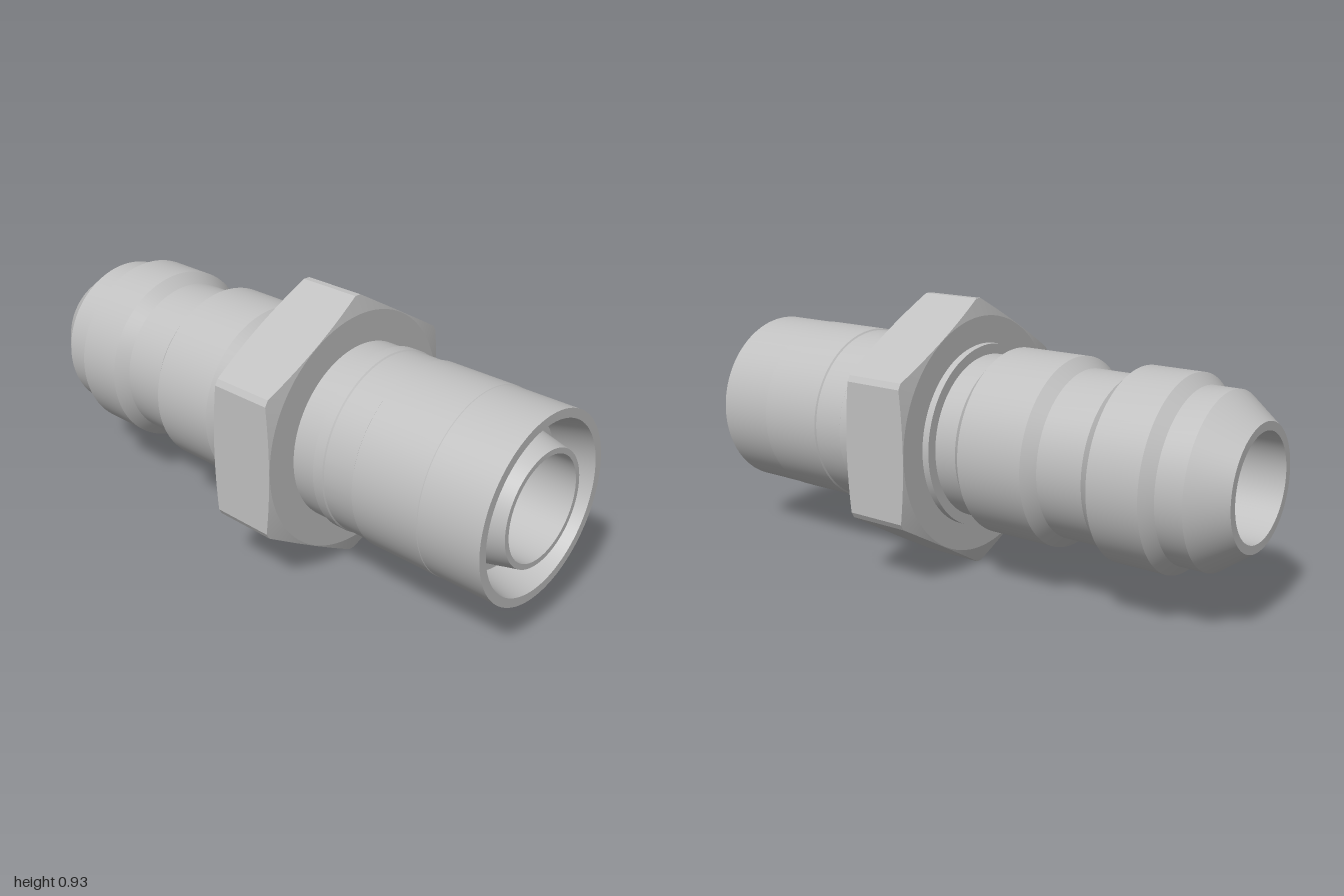
import * as THREE from 'three';
import { toCreasedNormals } from 'three/addons/utils/BufferGeometryUtils.js';

const AXIS_Y = 0.467;

// Turned part: [x, radius] pairs swept around the horizontal axis
function turned(name, profile, material) {
  const points = profile.map(([x, r]) => new THREE.Vector2(r, x));
  const geometry = new THREE.LatheGeometry(points, 96);
  geometry.rotateZ(-Math.PI / 2);
  const mesh = new THREE.Mesh(toCreasedNormals(geometry, 0.2), material);
  mesh.position.y = AXIS_Y;
  mesh.name = name;
  return mesh;
}

// Hexagonal prism whose corners are trimmed by a cone at both ends
function hexCollar(x0, x1, material) {
  const apothem = 0.41, faceR = 0.408, maxR = 0.467, inner = 0.26;
  const half = Math.acos(apothem / maxR), steps = 14;
  const positions = [], indices = [];
  for (let side = 0; side < 6; side++) {
    for (let s = 0; s <= steps; s++) {
      const t = -half + (2 * half * s) / steps;
      const phi = Math.PI / 6 + (side * Math.PI) / 3 + t;
      const r = apothem / Math.cos(t);
      const c = (r - faceR) * 0.24;
      const section = [[x0, inner], [x0, faceR], [x0 + c, r], [x1 - c, r], [x1, faceR], [x1, inner]];
      for (const [x, q] of section) positions.push(x, q * Math.cos(phi), q * Math.sin(phi));
    }
  }
  const count = 6 * (steps + 1);
  for (let j = 0; j < count; j++) {
    const a = j * 6, b = ((j + 1) % count) * 6;
    for (let i = 0; i < 5; i++) {
      indices.push(a + i, b + i, a + i + 1, b + i, b + i + 1, a + i + 1);
    }
  }
  const geometry = new THREE.BufferGeometry();
  geometry.setAttribute('position', new THREE.Float32BufferAttribute(positions, 3));
  geometry.setIndex(indices);
  geometry.computeVertexNormals();
  const mesh = new THREE.Mesh(toCreasedNormals(geometry, 0.2), material);
  mesh.position.y = AXIS_Y;
  mesh.name = 'hexCollar';
  return mesh;
}

export function createModel() {
  const steel = new THREE.MeshStandardMaterial({ color: 0xc0c0c0 });
  steel.name = 'steel';
  const group = new THREE.Group();
  group.name = 'pipeFitting';

  // Tapered nose and two raised lands
  group.add(turned('ribbedTail', [
    [-1, 0.172], [-1, 0.2], [-0.89, 0.28], [-0.8, 0.28], [-0.765, 0.315],
    [-0.59, 0.315], [-0.55, 0.279], [-0.388, 0.279], [-0.35, 0.315],
    [-0.107, 0.315], [-0.07, 0.28], [0.012, 0.28],
  ], steel));

  // Thin shoulder against the hexagon
  group.add(turned('shoulder', [[0.012, 0.27], [0.012, 0.315], [0.04, 0.315]], steel));
  group.add(hexCollar(0.037, 0.285, steel));

  // Sleeve with shallow grooves, conical socket and inner nozzle
  group.add(turned('sleeve', [
    [0.28, 0.303], [0.375, 0.303], [0.375, 0.311], [0.413, 0.311], [0.417, 0.307],
    [0.53, 0.307], [0.534, 0.312], [0.78, 0.312], [0.782, 0.31], [1, 0.31],
    [1, 0.28], [0.87, 0.25], [0.87, 0.22], [1, 0.19], [1, 0.172],
  ], steel));

  // Through hole
  group.add(turned('bore', [[1, 0.172], [-1, 0.172]], steel));
  return group;
}
